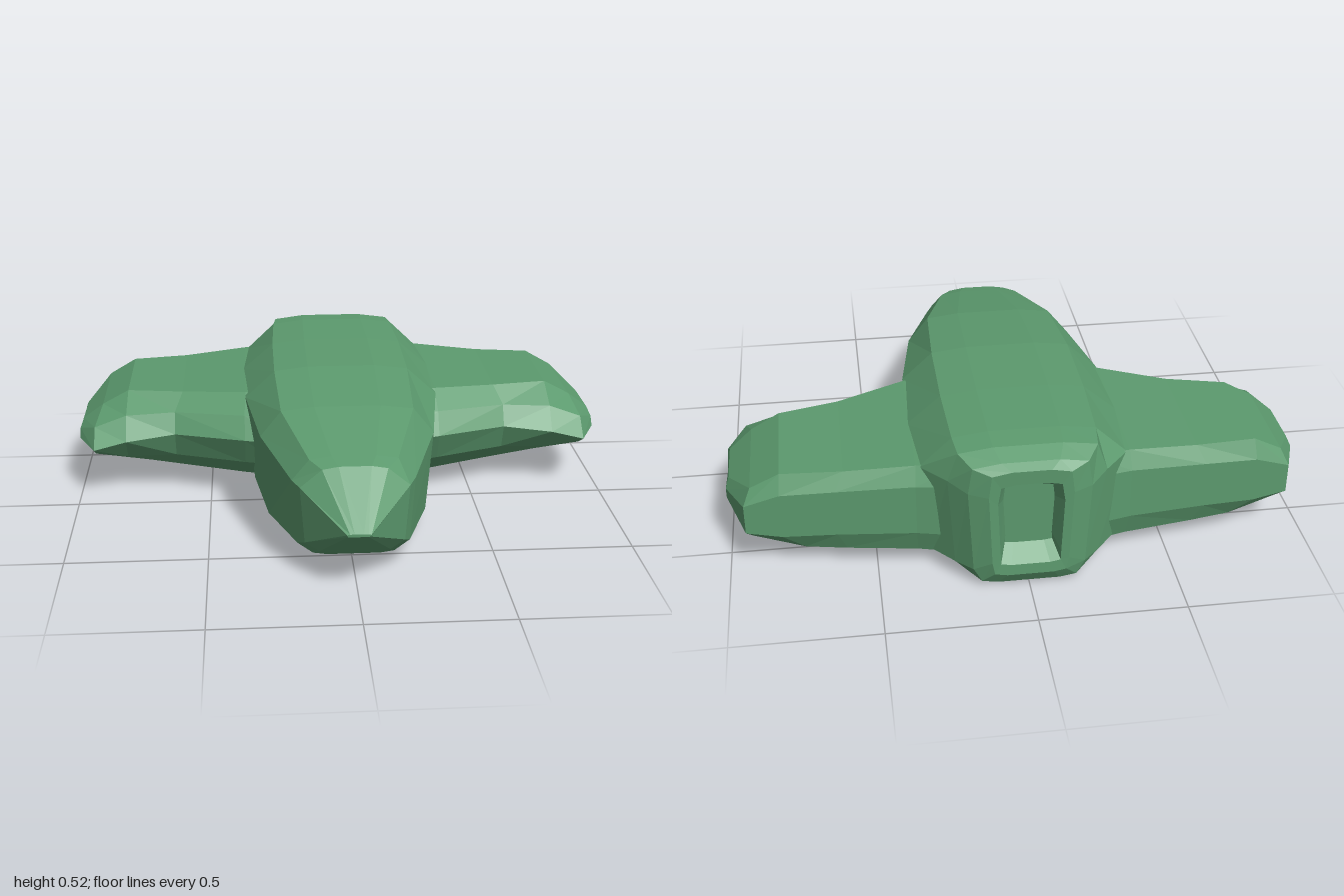
import * as THREE from 'three';

const mix = THREE.MathUtils.lerp;

// Skin a list of equal-length rings, close both ends, and face all triangles outward.
function loft(rings) {
  const n = rings[0].length;
  const tris = [];
  for (let i = 0; i < rings.length - 1; i++) {
    for (let j = 0; j < n; j++) {
      const k = (j + 1) % n;
      const a = rings[i][j], b = rings[i][k], c = rings[i + 1][k], d = rings[i + 1][j];
      tris.push([a, b, c], [a, c, d]);
    }
  }
  const cap = (ring, flip) => {
    const mid = [0, 1, 2].map((c) => ring.reduce((s, p) => s + p[c], 0) / n);
    for (let j = 0; j < n; j++) {
      const a = ring[j], b = ring[(j + 1) % n];
      tris.push(flip ? [mid, b, a] : [mid, a, b]);
    }
  };
  cap(rings[0], true);
  cap(rings[rings.length - 1], false);
  const vec = (p) => new THREE.Vector3(...p);
  const volume = tris.reduce((s, [a, b, c]) => s + vec(a).dot(vec(b).cross(vec(c))), 0);
  const ordered = volume < 0 ? tris.map(([a, b, c]) => [a, c, b]) : tris;
  const geometry = new THREE.BufferGeometry();
  geometry.setAttribute('position', new THREE.Float32BufferAttribute(ordered.flat(2), 3));
  geometry.computeVertexNormals();
  return geometry;
}

// Hull stations: z, half width, keel half width, crown half width, bottom y, top y
const hullStations = [
  [0.83, 0.04, 0.03, 0.03, 0.225, 0.235],
  [0.65, 0.185, 0.12, 0.11, 0.085, 0.398],
  [0.59, 0.21, 0.14, 0.15, 0.05, 0.412],
  [0.28, 0.31, 0.18, 0.235, 0.01, 0.475],
  [-0.06, 0.36, 0.2, 0.25, 0.002, 0.512],
  [-0.38, 0.37, 0.2, 0.25, 0, 0.519],
  [-0.65, 0.35, 0.2, 0.24, 0, 0.519],
  [-0.74, 0.265, 0.19, 0.23, 0.002, 0.513],
  [-0.8, 0.205, 0.16, 0.19, 0.012, 0.488],
  [-0.83, 0.14, 0.12, 0.13, 0.06, 0.47],
  // Recessed stern opening
  [-0.828, 0.11, 0.1, 0.1, 0.1, 0.42],
  [-0.77, 0.085, 0.08, 0.08, 0.15, 0.38],
];

// Chamfered section: one half from keel to crown, then its mirror.
function hullRing([z, width, keel, crown, bottom, top]) {
  const h = top - bottom;
  const half = [
    [keel * 0.65, bottom], [keel, bottom + h * 0.02],
    [width * 0.92, bottom + h * 0.13], [width, bottom + h * 0.77],
    [crown, top - h * 0.03], [crown * 0.5, top],
  ];
  return [
    ...half.map(([x, y]) => [x, y, z]),
    ...half.map(([x, y]) => [-x, y, z]).reverse(),
  ];
}

// Wing stations: x of edges, top and bottom; z of nose, top front and back; y of nose, top and bottom
const wingStations = [
  [0.22, 0.22, 0.22, 0.09, -0.06, -0.71, 0.26, 0.41, 0.06],
  [0.365, 0.36, 0.36, 0.045, -0.09, -0.68, 0.26, 0.405, 0.065],
  [0.63, 0.6, 0.6, -0.065, -0.17, -0.652, 0.25, 0.385, 0.072],
  [0.815, 0.81, 0.74, -0.046, -0.215, -0.632, 0.23, 0.38, 0.077],
  [0.935, 0.91, 0.91, -0.03, -0.22, -0.62, 0.205, 0.325, 0.13],
  [1, 0.99, 0.998, -0.17, -0.24, -0.45, 0.205, 0.262, 0.195],
];

// Section runs from the leading edge over the top to the trailing edge and back below.
function wingRing([xEdge, xTop, xBottom, zNose, zFront, zBack, yNose, yTop, yBottom], side) {
  const zMid = mix(zNose, zFront, 0.4);
  const yUpper = mix(yNose, yTop, 0.55);
  const yLower = mix(yNose, yBottom, 0.55);
  return [
    [xEdge, yNose, zNose], [xEdge, yUpper, zMid],
    [xTop, yTop, zFront], [xTop, yTop, zBack + 0.03],
    [xEdge, yUpper, zBack], [xEdge, yLower, zBack],
    [xBottom, yBottom, zBack + 0.03], [xBottom, yBottom, zFront - 0.03],
    [xEdge, yLower, zMid],
  ].map(([x, y, z]) => [x * side, y, z]);
}

export function createModel() {
  const green = new THREE.MeshStandardMaterial({ color: 0x5c9a6e });
  green.name = 'hull green';
  const group = new THREE.Group();
  group.name = 'spacecraft';

  const add = (name, geometry) => {
    const mesh = new THREE.Mesh(geometry, green);
    mesh.name = name;
    group.add(mesh);
  };

  add('hull', loft(hullStations.map(hullRing)));

  // Mirrored wings
  for (const [name, side] of [['leftWing', 1], ['rightWing', -1]]) {
    add(name, loft(wingStations.map((station) => wingRing(station, side))));
  }
  return group;
}
